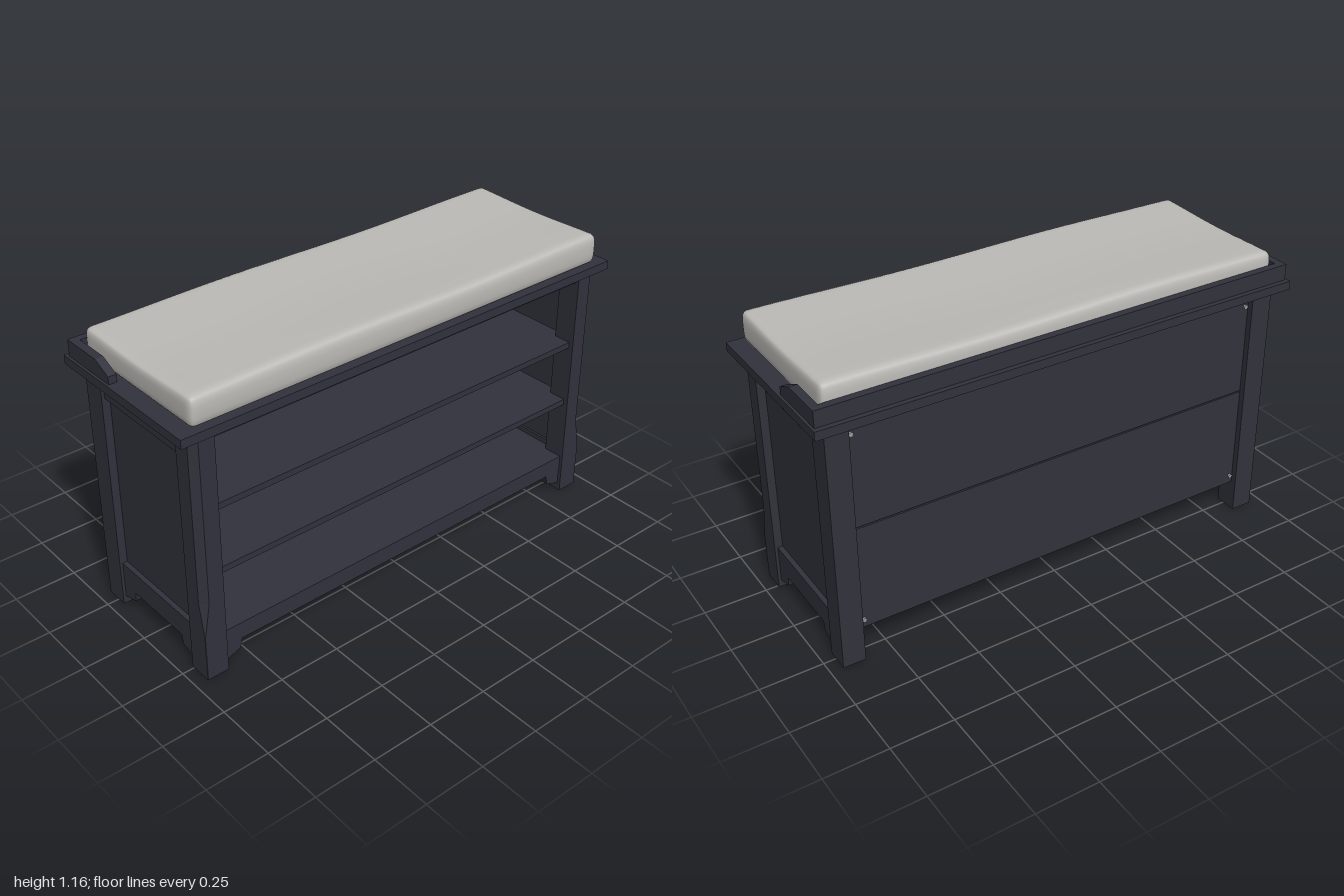
import * as THREE from 'three';
import { mergeVertices } from 'three/addons/utils/BufferGeometryUtils.js';

export function createModel() {
  const model = new THREE.Group();
  model.name = 'storageBench';

  const mat = (name, color) => {
    const m = new THREE.MeshStandardMaterial({ color });
    m.name = name;
    return m;
  };
  const wood = mat('darkPaintedWood', 0x31323c);
  const fabric = mat('cushionFabric', 0xbcbab6);
  const metal = mat('screwMetal', 0x9a9a9a);

  const add = (name, geometry, material = wood) => {
    const mesh = new THREE.Mesh(geometry, material);
    mesh.name = name;
    model.add(mesh);
    return mesh;
  };
  // Box given by its lower and upper limits on each axis
  const box = (name, x0, x1, y0, y1, z0, z1) =>
    add(name, new THREE.BoxGeometry(x1 - x0, y1 - y0, z1 - z0)
      .translate((x0 + x1) / 2, (y0 + y1) / 2, (z0 + z1) / 2));
  const shapeOf = (pts) => new THREE.Shape(pts.map(([a, b]) => new THREE.Vector2(a, b)));
  // Profile in x,y pushed along z
  const extrudeZ = (name, pts, z0, z1) =>
    add(name, new THREE.ExtrudeGeometry(shapeOf(pts), { depth: z1 - z0, bevelEnabled: false })
      .translate(0, 0, z0));
  // Profile in z,y pushed along x
  const extrudeX = (name, pts, x0, x1) =>
    add(name, new THREE.ExtrudeGeometry(shapeOf(pts), { depth: x1 - x0, bevelEnabled: false })
      .rotateY(-Math.PI / 2).translate(x1, 0, 0));

  // Front leg: outer corner chamfered, with the chamfer fading out above a square foot
  function frontLeg(s) {
    const c = 0.026, levels = [0, 0.19, 0.33, 1];
    const X = 0.95 * s, Z = 0.335;
    const pts = [[0.86 * s, 0.24], [X, 0.24], [X, Z - c], [X - c * s, Z], [0.86 * s, Z]];
    const g = new THREE.ExtrudeGeometry(shapeOf(pts.map(([x, z]) => [x, -z])),
      { depth: 3, steps: 3, bevelEnabled: false }).rotateX(-Math.PI / 2);
    const p = g.attributes.position;
    for (let i = 0; i < p.count; i++) {
      const ring = Math.round(p.getY(i));
      const dx = p.getX(i) - X, dz = p.getZ(i) - Z;
      p.setY(i, levels[ring]);
      if (ring < 2 && Math.abs(dx) + Math.abs(dz) < c + 0.001) {
        p.setX(i, X + dx * 0.05);
        p.setZ(i, Z + dz * 0.05);
      }
    }
    g.computeVertexNormals();
    add('frontLeg', g);
  }

  for (const s of [-1, 1]) {
    const side = (name, a, b, ...rest) => box(name, Math.min(a * s, b * s), Math.max(a * s, b * s), ...rest);
    // Legs
    frontLeg(s);
    side('backLeg', 0.86, 0.95, 0, 1, -0.31, -0.215);

    // Framed end panel
    side('sideBottomRail', 0.885, 0.938, 0.09, 0.185, -0.215, 0.24);
    side('sideTopRail', 0.885, 0.938, 0.9, 1, -0.215, 0.24);
    side('sidePanel', 0.895, 0.918, 0.185, 0.9, -0.215, 0.24);

    // Shaped foot brackets
    extrudeZ('frontFootBracket',
      [[0.86 * s, 0.03], [0.795 * s, 0.052], [0.785 * s, 0.095], [0.86 * s, 0.095]], 0.27, 0.32);
    const xs = s > 0 ? [0.885, 0.938] : [-0.938, -0.885];
    extrudeX('sideFootBracket', [[0.24, 0.03], [0.17, 0.05], [0.162, 0.09], [0.24, 0.09]], ...xs);
    extrudeX('sideFootBracket', [[-0.215, 0.03], [-0.145, 0.05], [-0.137, 0.09], [-0.215, 0.09]], ...xs);

    // Raised guard at each end of the top
    extrudeX('endGuard',
      [[-0.335, 1.035], [-0.08, 1.035], [-0.08, 1.065], [-0.155, 1.1], [-0.335, 1.1]],
      ...(s > 0 ? [0.958, 0.99] : [-0.99, -0.958]));

    // Screws in the back panel corners
    for (const y of [0.16, 0.94]) {
      add('backScrew', new THREE.CylinderGeometry(0.009, 0.009, 0.008, 12)
        .rotateX(Math.PI / 2).translate(0.845 * s, y, -0.289), metal);
    }
  }

  // Bench top and back guard
  box('benchTop', -1, 1, 1, 1.035, -0.355, 0.355);
  box('backGuard', -0.958, 0.958, 1.035, 1.1, -0.335, -0.305);

  // Front rails and shelves
  box('frontTopRail', -0.86, 0.86, 0.972, 1, 0.28, 0.322);
  box('frontBottomRail', -0.86, 0.86, 0.095, 0.165, 0.28, 0.322);
  box('bottomShelf', -0.895, 0.895, 0.14, 0.164, -0.265, 0.28);
  for (const y of [0.415, 0.68]) {
    box('shelf', -0.86, 0.86, y, y + 0.025, -0.265, 0.315);
    box('shelfCore', -0.895, 0.895, y, y + 0.025, -0.215, 0.24);
  }

  // Two-board back with a groove between the boards
  box('backLowerBoard', -0.86, 0.86, 0.125, 0.556, -0.285, -0.265);
  box('backUpperBoard', -0.86, 0.86, 0.562, 0.965, -0.285, -0.265);
  box('backGrooveStrip', -0.86, 0.86, 0.54, 0.58, -0.276, -0.264);
  box('backTopRail', -0.86, 0.86, 0.955, 1, -0.275, -0.25);

  // Soft cushion: grid crowded towards the edges, rounded, then gently waved
  const half = new THREE.Vector3(0.945, 0.057, 0.316), r = 0.026;
  let g = new THREE.BoxGeometry(2, 2, 2, 44, 8, 24);
  g.deleteAttribute('uv');
  g.deleteAttribute('normal');
  g = mergeVertices(g);
  const p = g.attributes.position, v = new THREE.Vector3(), core = new THREE.Vector3();
  const inner = half.clone().subScalar(r), outer = inner.clone().negate();
  for (let i = 0; i < p.count; i++) {
    v.fromBufferAttribute(p, i);
    v.set(...v.toArray().map((a) => Math.sin(a * Math.PI / 2))).multiply(half);
    core.copy(v).clamp(outer, inner);
    v.sub(core).setLength(r).add(core);
    const t = v.y / half.y;
    if (t > 0) v.y += t * (0.004 * Math.cos((v.x + 0.35) * 5) - 0.004 * Math.cos(v.z * 9) + 0.002);
    v.z += Math.sign(v.z) * 0.004 * (1 - t * t) * Math.min(1, Math.abs(v.z) / 0.3);
    p.setXYZ(i, v.x, v.y + 1.093, v.z + 0.018);
  }
  g.computeVertexNormals();
  add('cushion', g, fabric);

  return model;
}
